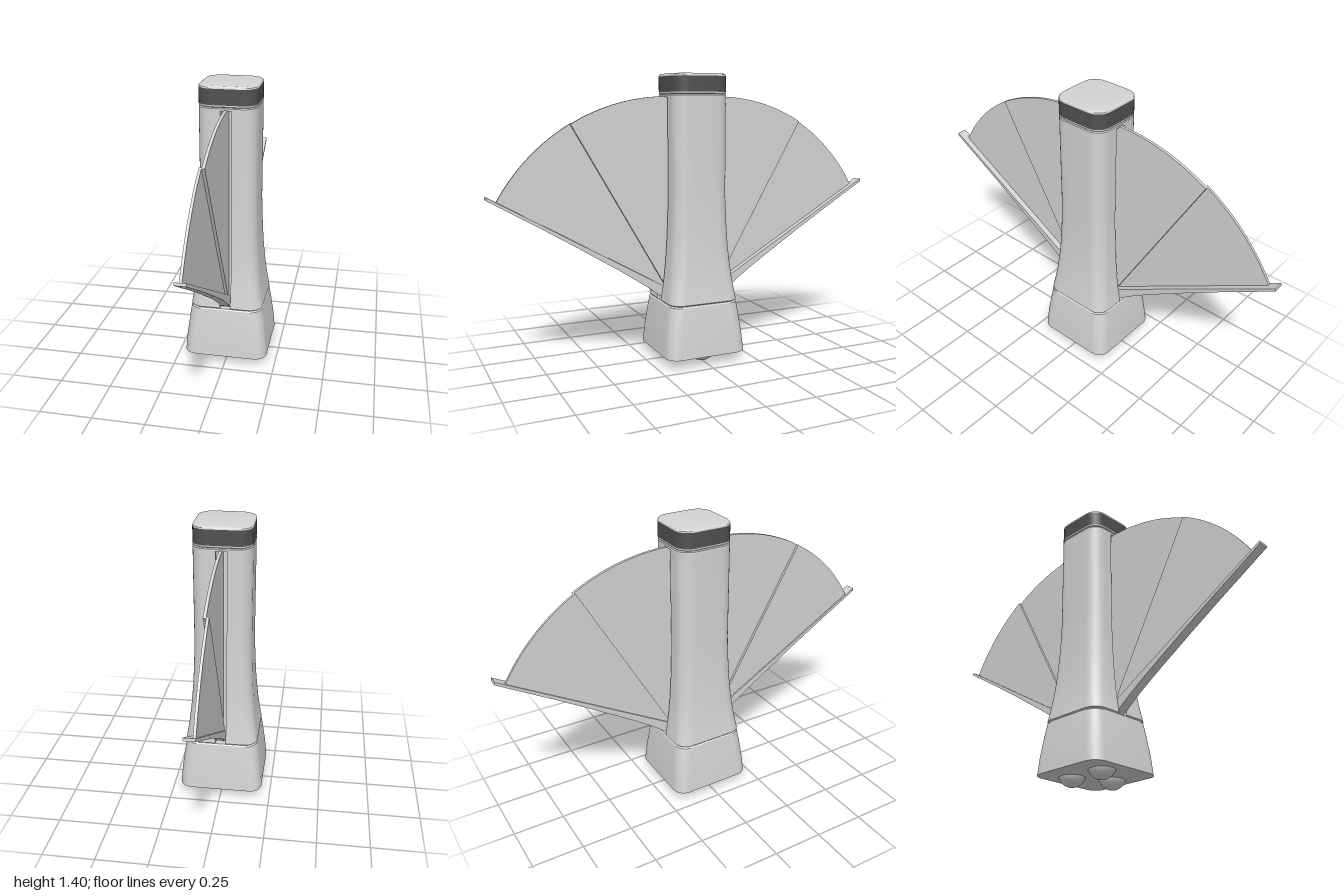
import * as THREE from 'three';
import { toCreasedNormals } from 'three/addons/utils/BufferGeometryUtils.js';

const shell = new THREE.MeshStandardMaterial({ color: 0xd3d3d1 });
shell.name = 'light grey shell';
const dark = new THREE.MeshStandardMaterial({ color: 0x505050 });
dark.name = 'dark grey band';

const SLOT = 0.026, SLOT_FLOOR = 0.11;

// Rounded square outline, optionally notched by the front and back slots
function outline(half, radius, slotted) {
  const pts = [];
  for (let k = 0; k < 4; k++) {
    const mid = (k + 0.5) * Math.PI / 2, c = half - radius;
    const cx = Math.sign(Math.cos(mid)) * c, cz = Math.sign(Math.sin(mid)) * c;
    for (let i = 0; i <= 8; i++) {
      const a = (k + i / 8) * Math.PI / 2;
      pts.push(new THREE.Vector2(cx + radius * Math.cos(a), cz + radius * Math.sin(a)));
    }
    if (slotted && k % 2 === 0) {
      const s = k === 0 ? 1 : -1;
      [[SLOT, half], [SLOT, SLOT_FLOOR], [-SLOT, SLOT_FLOOR], [-SLOT, half]]
        .forEach(([x, z]) => pts.push(new THREE.Vector2(s * x, s * z)));
    }
  }
  return pts;
}

// Capped loft through [y, half width] stations
function loft(stations, slotted = false) {
  const rings = stations.map(([, h]) => outline(h, THREE.MathUtils.mapLinear(h, 0.138, 0.207, 0.068, 0.06), slotted));
  const n = rings[0].length, pos = [];
  const put = (j, i) => pos.push(rings[j][i % n].x, stations[j][0], rings[j][i % n].y);
  for (let j = 0; j < rings.length - 1; j++) {
    for (let i = 0; i < n; i++) {
      put(j, i); put(j + 1, i + 1); put(j, i + 1);
      put(j, i); put(j + 1, i); put(j + 1, i + 1);
    }
  }
  const last = rings.length - 1;
  THREE.ShapeUtils.triangulateShape(rings[0], []).forEach(([a, b, c]) => { put(0, a); put(0, b); put(0, c); });
  THREE.ShapeUtils.triangulateShape(rings[last], []).forEach(([a, b, c]) => { put(last, a); put(last, c); put(last, b); });
  const g = new THREE.BufferGeometry();
  g.setAttribute('position', new THREE.Float32BufferAttribute(pos, 3));
  return toCreasedNormals(g, 0.5);
}

// Flat plate drawn in (z, y), spanning x0 to x1
function plate(points, x0, x1) {
  const shape = new THREE.Shape(points.map(([z, y]) => new THREE.Vector2(z, y)));
  const g = new THREE.ExtrudeGeometry(shape, { depth: x1 - x0, bevelEnabled: false });
  return g.rotateY(-Math.PI / 2).translate(x1, 0, 0);
}

export function createModel() {
  const model = new THREE.Group();
  const add = (name, geometry, material = shell) => {
    const mesh = new THREE.Mesh(geometry, material);
    mesh.name = name;
    model.add(mesh);
  };

  // Flared base
  add('base', loft([[0.045, 0.207], [0.13, 0.2], [0.22, 0.189], [0.291, 0.179], [0.297, 0.174]]));

  // Tapering slotted tower
  add('tower', loft([[0.297, 0.174], [0.303, 0.179], [0.36, 0.17], [0.43, 0.161], [0.5, 0.154], [0.58, 0.148],
    [0.66, 0.144], [0.74, 0.141], [0.82, 0.139], [1.285, 0.139]], true));
  add('towerTop', loft([[1.285, 0.139], [1.296, 0.139], [1.3, 0.135]]));

  // Head: collar, dark band and lid
  add('collar', loft([[1.3, 0.135], [1.304, 0.139], [1.311, 0.139]]));
  add('band', loft([[1.311, 0.139], [1.385, 0.139]]), dark);
  add('lid', loft([[1.385, 0.139], [1.391, 0.138], [1.395, 0.135], [1.397, 0.131]]));

  // Three domes under the base
  for (let i = 0; i < 3; i++) {
    const a = i * Math.PI * 2 / 3;
    add('bottomDome', new THREE.SphereGeometry(0.066, 32, 20)
      .translate(0.112 * Math.cos(a), 0.066, 0.112 * Math.sin(a)));
  }

  // Fans opening to the front and back
  const pz = 0.138, py = 0.352, R = 0.938, deg = Math.PI / 180;
  const arc = (from, to) => Array.from({ length: 17 }, (_, i) => {
    const a = (from + (to - from) * i / 16) * deg;
    return [pz + R * Math.cos(a), py + R * Math.sin(a)];
  });
  // Strip outline as distance along the arm and distance below it
  const strip = [[-0.03, -0.004], [0.991, -0.004], [0.987, 0.009], [0.7, 0.012], [0.5, 0.0165], [0.4, 0.021],
    [0.3, 0.024], [0.2, 0.029], [0.1, 0.037], [0.01, 0.0485], [-0.03, 0.051]]
    .map(([u, v]) => [pz + u * Math.cos(30 * deg) + v * 0.5, py + u * 0.5 - v * Math.cos(30 * deg)]);

  for (const s of [1, -1]) {
    const side = s > 0 ? 'front' : 'back';
    const flip = (pts) => pts.map(([z, y]) => [s * z, y]);
    add(side + 'InnerPanel', plate(flip([[pz, py], ...arc(60, 90), [0.1, py + R], [0.1, py]]), -0.006, 0.008));
    add(side + 'OuterPanel', plate(flip([[pz, py], ...arc(30, 60.5)]), -0.018, -0.006));
    add(side + 'FanArm', plate(flip(strip), -0.025, 0.024));
  }
  return model;
}
